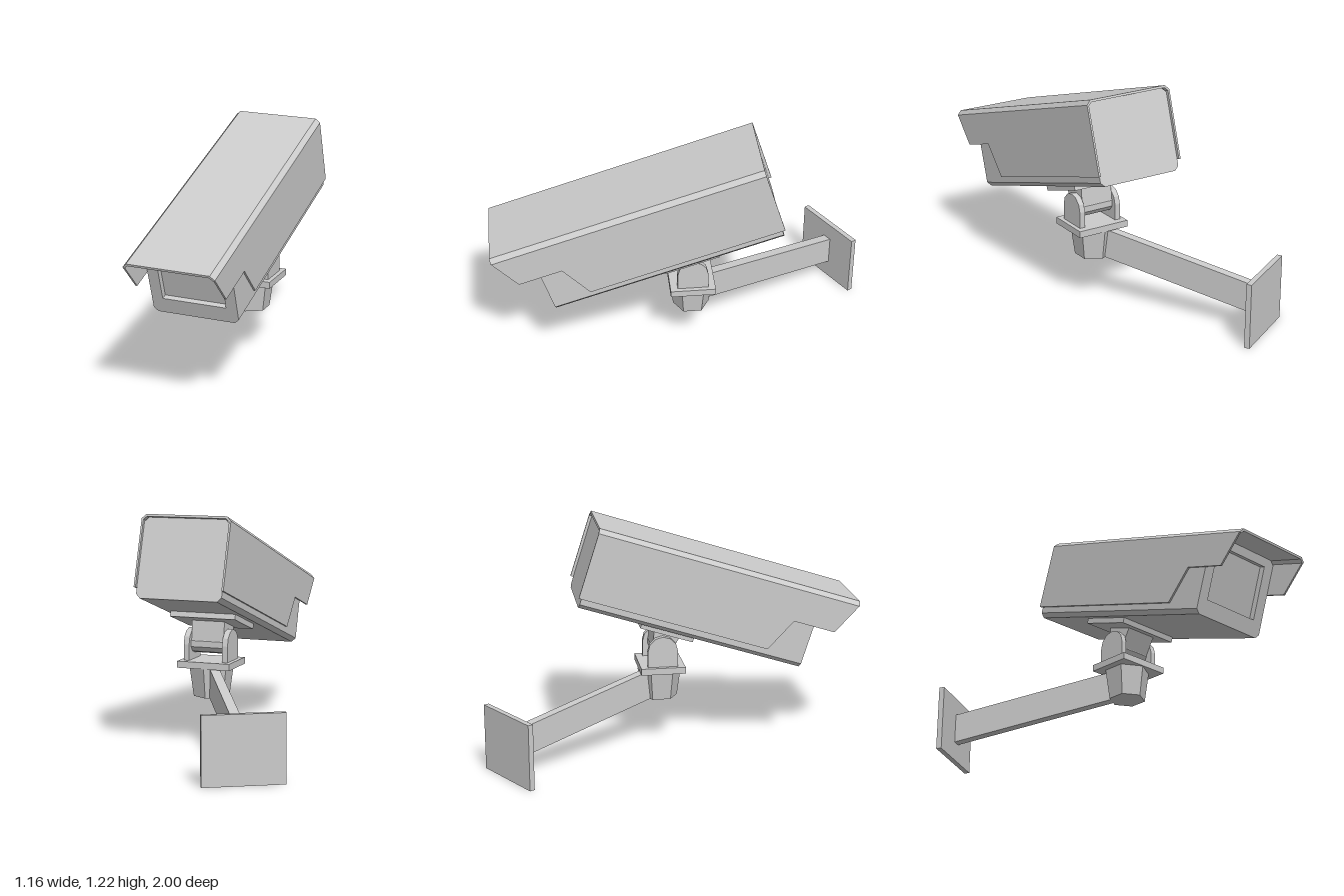
import * as THREE from 'three';

const grey = new THREE.MeshStandardMaterial({ color: 0xcccccc, flatShading: true, side: THREE.DoubleSide });

function add(parent, name, geometry, x = 0, y = 0, z = 0) {
  const mesh = new THREE.Mesh(geometry, grey);
  mesh.name = name;
  mesh.position.set(x, y, z);
  parent.add(mesh);
  return mesh;
}

const box = (w, h, d) => new THREE.BoxGeometry(w, h, d);
const points = (list) => list.map(([x, y]) => new THREE.Vector2(x, y));

// Outline in x/y, extruded along z from z0 to z1
function prism(outline, z0, z1, hole) {
  const shape = new THREE.Shape(points(outline));
  if (hole) shape.holes.push(new THREE.Path(points(hole)));
  return new THREE.ExtrudeGeometry(shape, { depth: z1 - z0, bevelEnabled: false }).translate(0, 0, z0);
}

// Outline in z/y, extruded along x and centred on x = 0
function sidePanel(outline, thickness) {
  return prism(outline, -thickness / 2, thickness / 2).rotateY(-Math.PI / 2);
}

// Rectangle with cut corners
function cutRect(x, y0, y1, c) {
  return [[-x + c, y0], [x - c, y0], [x, y0 + c], [x, y1 - c], [x - c, y1], [-x + c, y1], [-x, y1 - c], [-x, y0 + c]];
}

function createCamera() {
  const camera = new THREE.Group();
  camera.name = 'cameraHead';

  // Housing with a recessed window
  const section = cutRect(0.229, -0.16, 0.256, 0.022);
  add(camera, 'housing', prism(section, -0.515, 0.68));
  add(camera, 'windowFrame', prism(section, 0.68, 0.71,
    [[-0.17, -0.075], [-0.17, 0.21], [0.17, 0.21], [0.17, -0.075]]));

  // Sun hood: bevelled roof and two notched side panels
  const roof = [
    [-0.24, 0.246], [-0.217, 0.269], [0.217, 0.269], [0.24, 0.246],
    [0.23, 0.241], [0.213, 0.257], [-0.213, 0.257], [-0.23, 0.241],
  ];
  add(camera, 'hoodRoof', prism(roof, -0.53, 0.91));
  const side = [
    [-0.53, 0.246], [-0.53, -0.106], [0.507, -0.106], [0.595, 0.076], [0.825, 0.076], [0.908, 0.246],
  ];
  for (const s of [-1, 1]) {
    add(camera, s < 0 ? 'hoodRight' : 'hoodLeft', sidePanel(side, 0.01), s * 0.235, 0, 0);
  }

  // Mounting plate and hinge knuckle under the housing
  add(camera, 'mountPlate', box(0.36, 0.028, 0.29), 0, -0.174, -0.02);
  const neck = [[-0.075, -0.185], [0.075, -0.185], [0.05, -0.293], [-0.05, -0.293]];
  add(camera, 'hingeNeck', sidePanel(neck, 0.18));
  add(camera, 'hingeBarrel', new THREE.CylinderGeometry(0.052, 0.052, 0.2, 10).rotateZ(Math.PI / 2), 0, -0.293, 0);

  camera.rotation.order = 'YXZ';
  camera.rotation.set(THREE.MathUtils.degToRad(17.8), -Math.PI / 6, 0);
  camera.position.set(0.104, 0.8, 0.06);
  return camera;
}

function createSwivel() {
  const swivel = new THREE.Group();
  swivel.name = 'swivelBracket';
  add(swivel, 'swivelPlate', box(0.29, 0.035, 0.236), 0, 0.418, 0);

  // Round-topped ears on either side of the hinge
  const ear = [[-0.08, 0.43], [0.08, 0.43]];
  for (let i = 0; i <= 6; i++) {
    const a = (i / 6) * Math.PI;
    ear.push([0.08 * Math.cos(a), 0.52 + 0.08 * Math.sin(a)]);
  }
  for (const s of [-1, 1]) {
    add(swivel, s < 0 ? 'hingeEarRight' : 'hingeEarLeft', sidePanel(ear, 0.03), s * 0.107, 0, 0);
  }
  swivel.rotation.y = -Math.PI / 6;
  swivel.position.set(0.148, 0, -0.015);
  return swivel;
}

export function createModel() {
  const model = new THREE.Group();
  model.name = 'securityCamera';
  model.add(createCamera(), createSwivel());

  // Tapered six-sided socket
  const socket = new THREE.CylinderGeometry(0.1175, 0.095, 0.158, 6).rotateY(Math.PI / 2);
  add(model, 'socket', socket, 0.146, 0.322, -0.02);

  // Sloping arm and wall plate
  const arm = [[-0.06, 0.4], [-0.06, 0.25], [-0.1, 0.245], [-0.975, 0.098], [-0.975, 0.253], [-0.11, 0.4]];
  add(model, 'wallArm', sidePanel(arm, 0.05), 0.145, 0, 0);
  add(model, 'wallPlate', box(0.405, 0.345, 0.028), 0.144, 0.1725, -0.986);
  return model;
}
